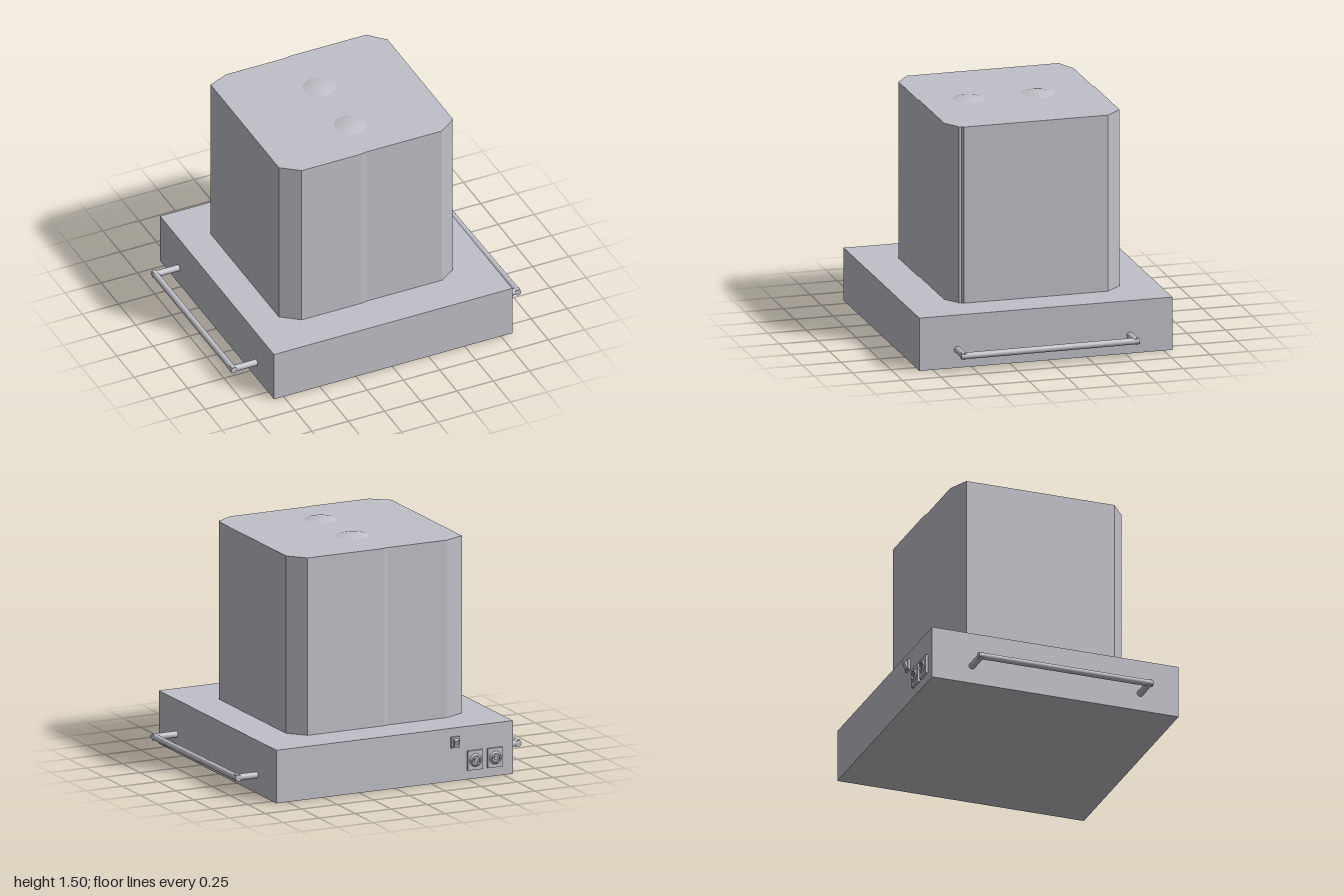
import * as THREE from 'three';

export function createModel() {
  const model = new THREE.Group();
  const grey = new THREE.MeshStandardMaterial({ color: 0xc0c0c8 });
  grey.name = 'satin grey';

  const add = (name, geometry, x = 0, y = 0, z = 0, parent = model) => {
    const mesh = new THREE.Mesh(geometry, grey);
    mesh.name = name;
    mesh.position.set(x, y, z);
    parent.add(mesh);
    return mesh;
  };

  // Wide base slab
  add('base', new THREE.BoxGeometry(1.645, 0.342, 1.645), 0.006, 0.171, 0.016);

  // Tower with irregular chamfered corners, outline as x, z pairs
  const outline = [
    [-0.615, -0.5], [-0.48, -0.556], [-0.07, -0.556], [-0.045, -0.564], [0.49, -0.564],
    [0.588, -0.46], [0.588, 0.478], [0.575, 0.488], [0.575, 0.505], [0.555, 0.512],
    [0.47, 0.57], [-0.05, 0.57], [-0.09, 0.577], [-0.5, 0.577], [-0.615, 0.487],
  ];
  const shape = new THREE.Shape(outline.map(([x, z]) => new THREE.Vector2(x, -z)));
  const tower = new THREE.ExtrudeGeometry(shape, { depth: 1.142, bevelEnabled: false });
  tower.rotateX(-Math.PI / 2);
  add('tower', tower, 0, 0.342, 0);

  // Shallow domes on the tower top
  const rise = 0.015, reach = 0.103;
  const radius = (reach * reach + rise * rise) / (2 * rise);
  const cap = new THREE.SphereGeometry(radius, 40, 8, 0, Math.PI * 2, 0, Math.asin(reach / radius));
  cap.translate(0, rise - radius, 0);
  for (const z of [-0.185, 0.265]) add('topDome', cap, -0.015, 1.484, z);

  // Side handles: a long rod carried on two short legs
  const rod = (name, a, b, r, parent) => {
    const from = new THREE.Vector3(...a), to = new THREE.Vector3(...b);
    const dir = to.clone().sub(from);
    const mesh = add(name, new THREE.CylinderGeometry(r, r, dir.length(), 24), 0, 0, 0, parent);
    mesh.position.copy(from).add(to).multiplyScalar(0.5);
    mesh.quaternion.setFromUnitVectors(new THREE.Vector3(0, 1, 0), dir.normalize());
  };
  const handle = (name, side, xBack, xFront, zBack, zFront) => {
    const group = new THREE.Group();
    group.name = name;
    model.add(group);
    const y = 0.118, r = 0.021;
    rod('handleBar', [xBack, y, zBack - 0.02], [xFront, y, zFront + 0.02], r, group);
    rod('handleLegBack', [side * 0.8, y, zBack], [xBack + side * 0.015, y, zBack], r, group);
    rod('handleLegFront', [side * 0.8, y, zFront], [xFront + side * 0.015, y, zFront], r, group);
  };
  handle('rightHandle', -1, -0.978, -0.978, -0.541, 0.582);
  handle('leftHandle', 1, 0.963, 0.978, -0.53, 0.592);

  // Two sockets on the back: plate, raised ring and centre pin
  const back = -0.806;
  for (const x of [-0.688, -0.55]) {
    const socket = new THREE.Group();
    socket.name = 'socket';
    socket.position.set(x, 0.122, back);
    model.add(socket);
    add('socketPlate', new THREE.BoxGeometry(0.105, 0.125, 0.016), 0, 0, -0.008, socket);
    const ring = new THREE.LatheGeometry(
      [[0.024, 0], [0.024, 0.013], [0.032, 0.013], [0.042, 0]].map((p) => new THREE.Vector2(...p)), 32);
    ring.rotateX(-Math.PI / 2);
    const flat = ring.toNonIndexed();
    flat.computeVertexNormals();
    // Profile runs from bore to rim, so turn the faces outward
    const p = flat.attributes.position;
    const a = new THREE.Vector3(), b = new THREE.Vector3();
    for (let i = 0; i < p.count; i += 3) {
      a.fromBufferAttribute(p, i + 1);
      b.fromBufferAttribute(p, i + 2);
      const n = new THREE.Vector3().fromBufferAttribute(flat.attributes.normal, i);
      const mid = a.clone().add(b).add(new THREE.Vector3().fromBufferAttribute(p, i)).divideScalar(3);
      const axisR = Math.hypot(mid.x, mid.y);
      const out = new THREE.Vector3(mid.x, mid.y, 0).multiplyScalar((axisR < 0.026 ? -1 : 1) / axisR);
      out.z = -1;
      if (n.dot(out) < 0) {
        p.setXYZ(i + 1, b.x, b.y, b.z);
        p.setXYZ(i + 2, a.x, a.y, a.z);
      }
    }
    flat.computeVertexNormals();
    add('socketRing', flat, 0, 0, -0.016, socket);
    const pin = new THREE.CylinderGeometry(0.012, 0.012, 0.01, 20);
    pin.rotateX(Math.PI / 2);
    add('socketPin', pin, 0, 0, -0.02, socket);
  }

  // Rocker switch
  add('switchPlate', new THREE.BoxGeometry(0.056, 0.07, 0.016), -0.412, 0.252, back - 0.008);
  const rocker = add('switchRocker', new THREE.BoxGeometry(0.032, 0.05, 0.022), -0.412, 0.25, back - 0.02);
  rocker.rotation.x = -0.4;

  return model;
}
